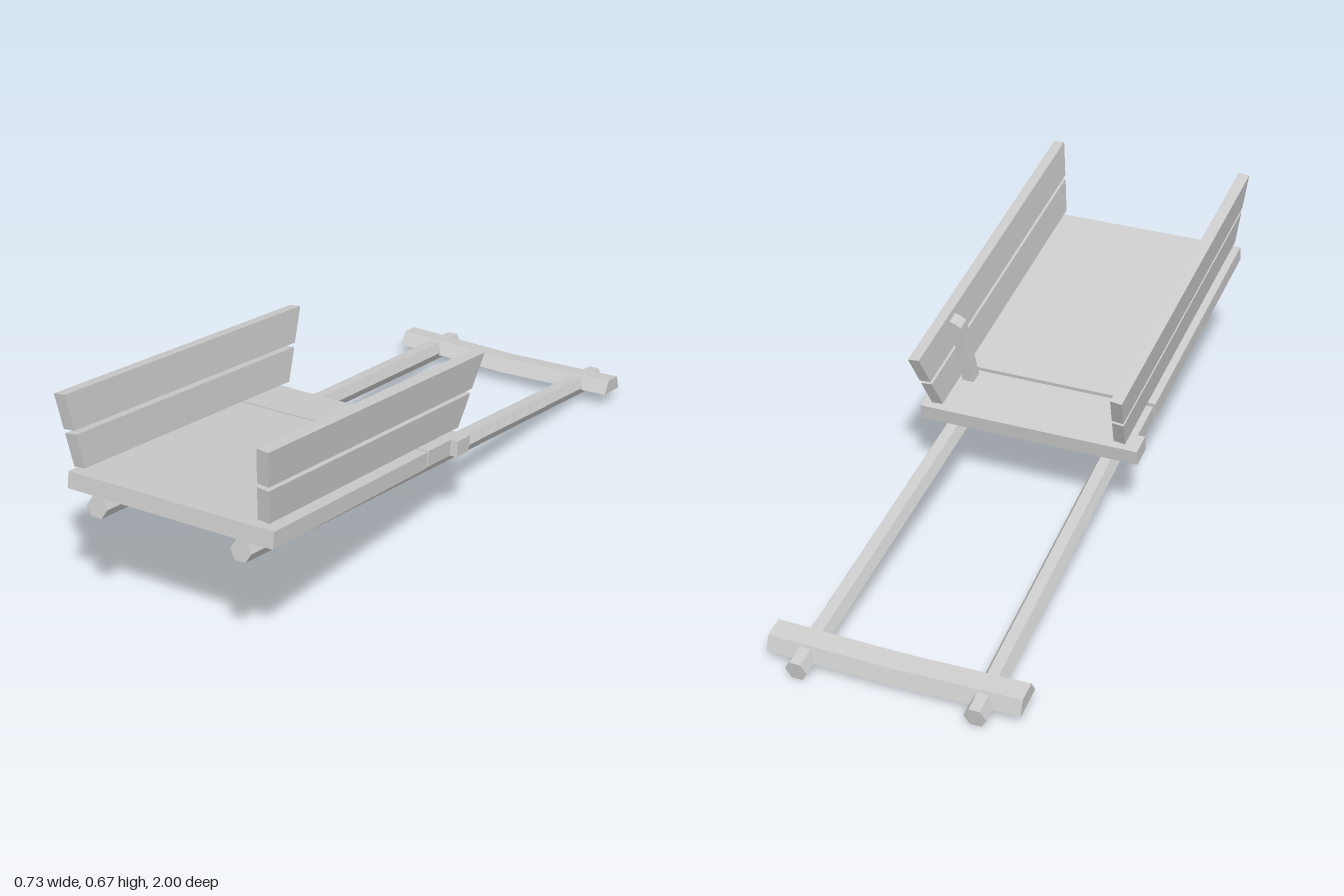
import * as THREE from 'three';

const TILT = 0.1635; // whole cart leans down towards its handles

export function createModel() {
  const model = new THREE.Group();
  model.name = 'handcart';
  const cart = new THREE.Group();
  cart.name = 'tiltedFrame';
  cart.rotation.x = -TILT;
  cart.position.y = 0.19;
  model.add(cart);

  const wood = new THREE.MeshStandardMaterial({ color: 0xcccccc, flatShading: true });
  const add = (name, geometry) => {
    const mesh = new THREE.Mesh(geometry, wood);
    mesh.name = name;
    cart.add(mesh);
    return mesh;
  };
  // Prism of an outline, centred on its depth
  const prism = (points, depth) => {
    const shape = new THREE.Shape(points.map(([x, y]) => new THREE.Vector2(x, y)));
    return new THREE.ExtrudeGeometry(shape, { depth, bevelEnabled: false }).translate(0, 0, -depth / 2);
  };

  // Front floor panel
  add('floorPanel', new THREE.BoxGeometry(0.627, 0.047, 0.785).translate(0, 0.0535, 0.603));

  // Rear floor board with an ear on each side
  const rear = prism([
    [-0.333, 0], [0.333, 0], [0.333, -0.07], [0.311, -0.07],
    [0.311, -0.198], [-0.311, -0.198], [-0.311, -0.07], [-0.333, -0.07],
  ], 0.047).rotateX(-Math.PI / 2).translate(0, 0.0535, 0);
  add('rearFloorBoard', rear);

  const LEAN = Math.atan(0.115);
  for (const s of [1, -1]) {
    const side = s > 0 ? 'left' : 'right';

    // Hexagonal shaft, spreading towards the handle end
    const shaft = new THREE.CylinderGeometry(0.0318, 0.0318, 1.996, 6)
      .rotateY(Math.PI / 6).rotateX(Math.PI / 2)
      .rotateY(-s * Math.atan(0.0175)).translate(s * 0.2375, 0, -0.005);
    add(side + 'Shaft', shaft);

    // Two leaning side boards with flared ends
    [[0, 0.097], [0.109, 0.211]].forEach(([a, b], i) => {
      const front = (y) => 0.994 + 0.333 * y;
      const back = (y) => 0.005 - 0.333 * y;
      const board = prism([[back(a), a], [front(a), a], [front(b), b], [back(b), b]], 0.034)
        .rotateY(-Math.PI / 2).rotateZ(-s * LEAN).translate(s * 0.2795, 0.095, 0);
      add(side + (i ? 'Upper' : 'Lower') + 'SideBoard', board);
    });
  }

  // Post against the inside of the left boards
  add('sidePost', prism([
    [0.226, 0.075], [0.260, 0.075], [0.284, 0.289], [0.268, 0.284], [0.250, 0.272],
  ], 0.042).translate(0, 0, 0.164));

  // Sagging crossbar with a trapezoid section
  const section = [[-0.004, -0.858], [0.038, -0.877], [0.038, -0.937], [-0.003, -0.959]];
  const stations = [[-0.363, 0], [-0.2, 0.0045], [0, 0.0095], [0.2, 0.0045], [0.363, 0]];
  const positions = [];
  const index = [];
  stations.forEach(([x, sag]) => section.forEach(([y, z]) => positions.push(x, y - sag, z)));
  for (let i = 0; i < stations.length - 1; i++) {
    for (let j = 0; j < 4; j++) {
      const a = i * 4 + j, b = i * 4 + (j + 1) % 4;
      index.push(a, a + 4, b, b, a + 4, b + 4);
    }
  }
  const e = (stations.length - 1) * 4;
  index.push(0, 1, 2, 0, 2, 3, e, e + 2, e + 1, e, e + 3, e + 2);
  const bar = new THREE.BufferGeometry();
  bar.setAttribute('position', new THREE.Float32BufferAttribute(positions, 3));
  bar.setIndex(index);
  bar.computeVertexNormals();
  add('crossbar', bar);

  return model;
}
